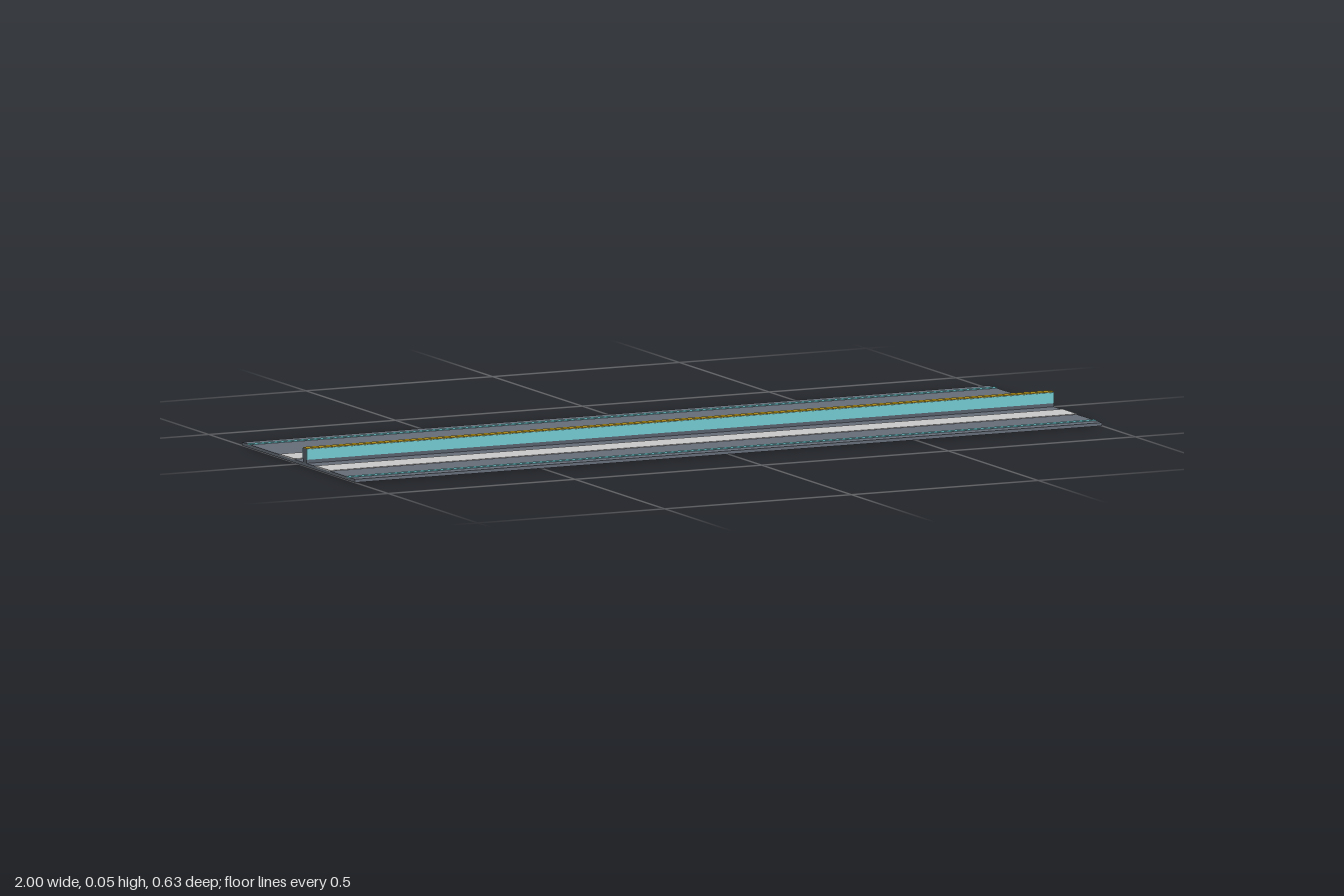
import * as THREE from 'three';

const mat = (color) => new THREE.MeshStandardMaterial({ color });
const ASPHALT = mat(0x676e79);
const PALE = mat(0xc9cacd);
const CYAN = mat(0x74ccd2);
const YELLOW = mat(0xd8b020);
const CORE = mat(0x59616d);

const LENGTH = 2;
const DECK_TOP = 0.008;

export function createModel() {
  const group = new THREE.Group();

  // Box given by its bottom, height, z centre and width
  const slab = (name, material, bottom, height, z, width, x = 0, length = LENGTH) => {
    const mesh = new THREE.Mesh(new THREE.BoxGeometry(length, height, width), material);
    mesh.name = name;
    mesh.position.set(x, bottom + height / 2, z);
    group.add(mesh);
  };
  // Thin raised marking sitting in the deck
  const marking = (name, material, z, width, x, length) =>
    slab(name, material, DECK_TOP - 0.001, 0.0025, z, width, x, length);

  // Road deck
  slab('roadDeck', ASPHALT, 0, DECK_TOP, 0, 0.63);

  // Pale lanes either side of the barrier
  const barrierZ = 0.036;
  for (const side of [-1, 1]) marking('paleLane', PALE, barrierZ + side * 0.1, 0.081);

  // Edge lines
  for (const side of [-1, 1]) marking('edgeLine', CYAN, side * 0.276, 0.016);

  // Centre dashes
  for (const x of [-0.75, -0.25, 0.25, 0.75]) marking('centreDash', PALE, 0.004, 0.016, x, 0.1);

  // Barrier: dark core, side panels and top stripe
  slab('barrierCore', CORE, DECK_TOP, 0.0355, barrierZ, 0.02);
  for (const side of [-1, 1]) slab('barrierPanel', CYAN, 0.017, 0.026, barrierZ + side * 0.0107, 0.003);
  slab('barrierTopStripe', YELLOW, 0.0435, 0.002, barrierZ, 0.018);

  return group;
}
